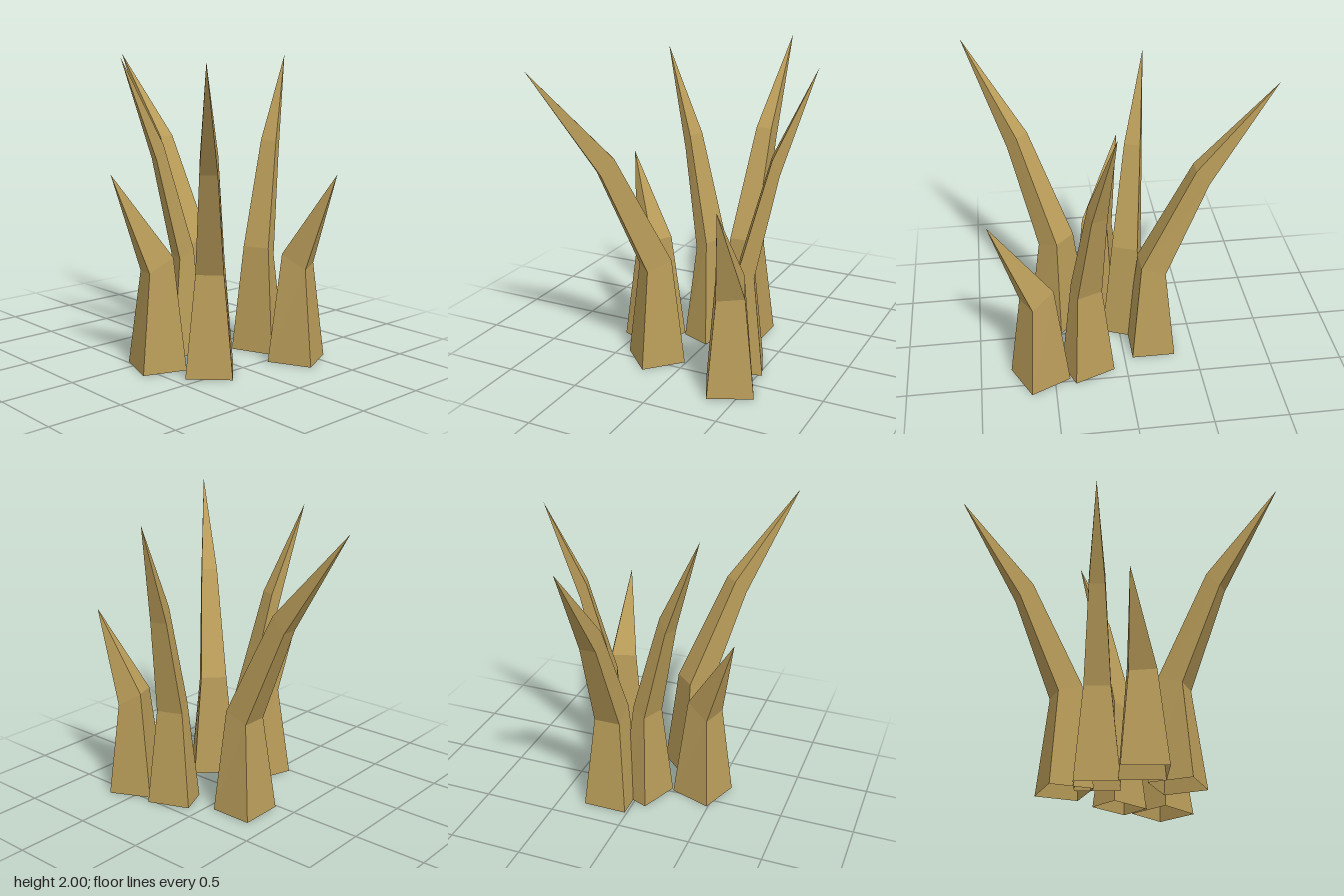
import * as THREE from 'three';

const horn = new THREE.MeshStandardMaterial({ color: 0xb99c59, flatShading: true, side: THREE.DoubleSide });
horn.name = 'tan horn';

// A ring is a four-sided section: inner and outer reach, half width, inner and outer height,
// and an optional tilt that lifts one side.
function ring(inner, outer, half, yInner, yOuter, tilt = 0) {
  return [
    [inner, yInner + tilt, -half], [inner, yInner - tilt, half],
    [outer, yOuter - tilt, half], [outer, yOuter + tilt, -half],
  ];
}

// Hollow spike leaning along +x: rings joined by quads, closed at the tip, open at the foot.
function spikeGeometry(rings, tip) {
  const pos = [];
  for (let r = 0; r < rings.length; r++) {
    for (let i = 0; i < 4; i++) {
      const j = (i + 1) % 4;
      const a = rings[r][i], b = rings[r][j];
      if (r === rings.length - 1) {
        pos.push(...a, ...b, ...tip);
      } else {
        const c = rings[r + 1][j], d = rings[r + 1][i];
        pos.push(...a, ...b, ...c, ...a, ...c, ...d);
      }
    }
  }
  const g = new THREE.BufferGeometry();
  g.setAttribute('position', new THREE.Float32BufferAttribute(pos, 3));
  g.computeVertexNormals();
  return g;
}

export function createModel() {
  const model = new THREE.Group();
  model.name = 'spikeCluster';

  // Strongly curved, upright and short spikes
  const curved = spikeGeometry([
    ring(-0.148, 0.148, 0.15, 0, 0),
    ring(-0.085, 0.08, 0.09, 0.72, 0.66),
    ring(0.265, 0.355, 0.055, 1.43, 1.33),
  ], [0.775, 2, 0]);
  const upright = spikeGeometry([
    ring(-0.107, 0.107, 0.148, 0, 0),
    ring(-0.053, 0.045, 0.09, 0.72, 0.66),
    ring(0.145, 0.193, 0.055, 1.43, 1.33),
  ], [0.416, 2, 0]);
  const short = spikeGeometry([
    ring(-0.148, 0.148, 0.149, 0, 0),
    ring(-0.08, 0.08, 0.09, 0.735, 0.64, 0.007),
  ], [0.276, 1.27, 0.084]);

  // name, geometry, foot centre x and z, leaning direction x and z
  const spikes = [
    ['backCurvedSpike', curved, 0.165, -0.205, 0, -1],
    ['frontCurvedSpike', curved, -0.22, 0.42, -0.54, 0.56],
    ['rightUprightSpike', upright, -0.045, -0.058, -0.385, -0.154],
    ['leftUprightSpike', upright, 0.373, 0.262, 0.387, -0.157],
    ['rightShortSpike', short, -0.4, 0.108, -0.943, -0.333],
    ['leftShortSpike', short, 0.403, 0.594, 0.431, 0.902],
  ];
  for (const [name, geometry, x, z, dx, dz] of spikes) {
    const mesh = new THREE.Mesh(geometry, horn);
    mesh.name = name;
    mesh.position.set(x, 0, z);
    mesh.rotation.y = Math.atan2(-dz, dx);
    model.add(mesh);
  }
  return model;
}
